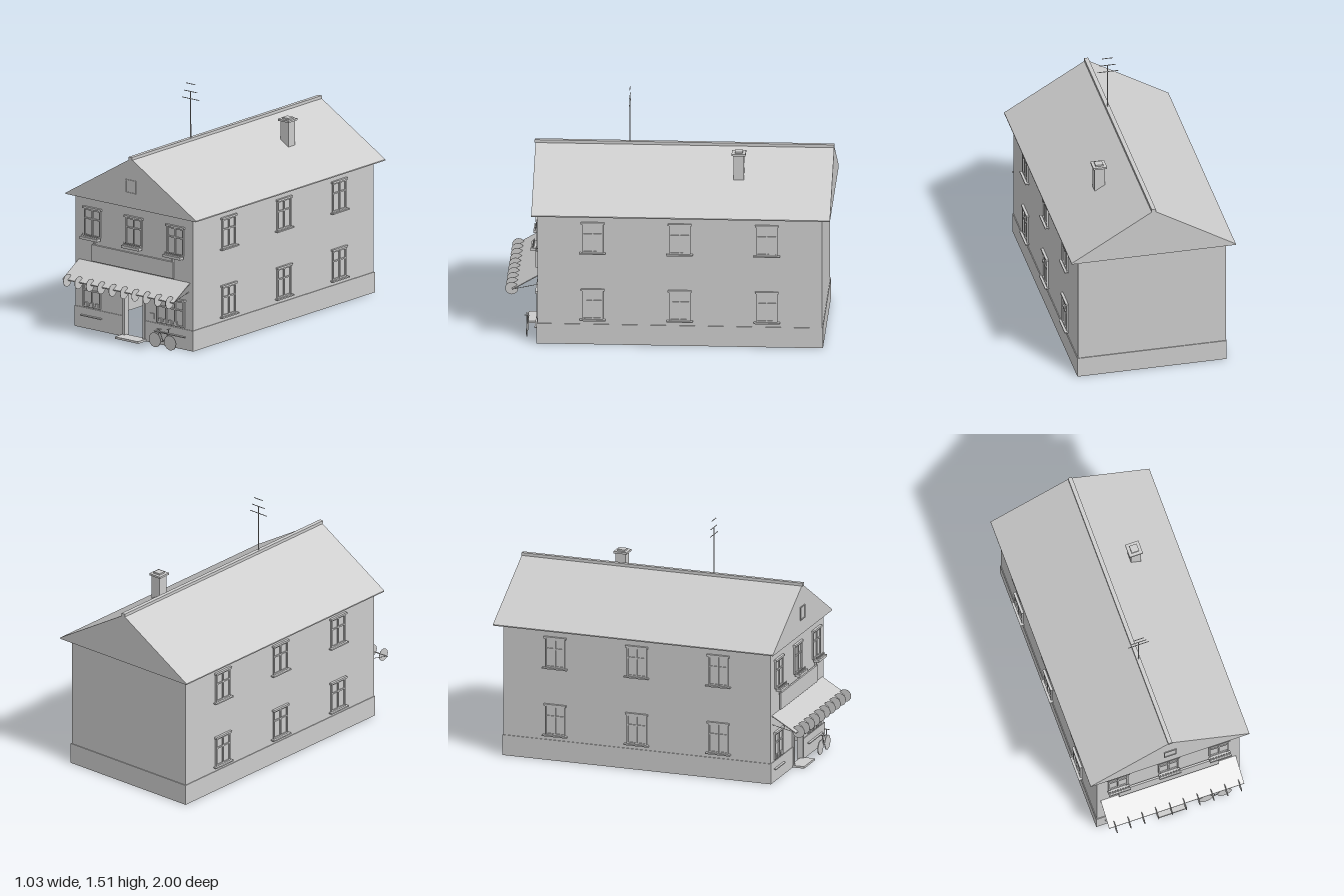
import * as THREE from 'three';

const plaster = new THREE.MeshStandardMaterial({ color: 0xcccccc });
plaster.name = 'plain grey';

function mesh(parent, name, geometry, x = 0, y = 0, z = 0) {
  const m = new THREE.Mesh(geometry, plaster);
  m.name = name;
  m.position.set(x, y, z);
  parent.add(m);
  return m;
}

// Box given by its lower and upper limits
function block(parent, name, x0, x1, y0, y1, z0, z1) {
  return mesh(parent, name, new THREE.BoxGeometry(x1 - x0, y1 - y0, z1 - z0),
    (x0 + x1) / 2, (y0 + y1) / 2, (z0 + z1) / 2);
}

// Round bar between two points
function rod(parent, name, a, b, r) {
  const from = new THREE.Vector3(...a), to = new THREE.Vector3(...b);
  const d = to.clone().sub(from);
  const m = mesh(parent, name, new THREE.CylinderGeometry(r, r, d.length(), 8));
  m.position.copy(from).addScaledVector(d, 0.5);
  m.quaternion.setFromUnitVectors(new THREE.Vector3(0, 1, 0), d.normalize());
  return m;
}

function group(parent, name, x = 0, y = 0, z = 0) {
  const g = new THREE.Group();
  g.name = name;
  g.position.set(x, y, z);
  parent.add(g);
  return g;
}

// Window facing +z, bottom centre at the origin
function makeWindow(parent, name, w, h, columns, sill) {
  const g = group(parent, name);
  const t = 0.009, d = 0.01, transom = h * 0.62;
  block(g, 'glass', -w / 2, w / 2, 0, h, 0, 0.002);
  for (let i = 0; i <= columns; i++) {
    const x = -w / 2 + t / 2 + (w - t) * i / columns;
    block(g, 'upright', x - t / 2, x + t / 2, 0, h, 0, d);
  }
  for (const y of [0, transom, h - t]) block(g, 'crossbar', -w / 2, w / 2, y, y + t, 0, d - 0.001);
  block(g, 'lintel', -w / 2 - 0.008, w / 2 + 0.008, h, h + 0.012, 0, 0.016);
  if (sill) block(g, 'sill', -w / 2 - 0.015, w / 2 + 0.015, -0.008, 0, 0, 0.024);
  return g;
}

// Front wall or plinth with the door cut out
function frontPanel(parent, name, half, height, z, depth) {
  const s = new THREE.Shape();
  [[-half, 0], [-0.07, 0], [-0.07, Math.min(0.305, height)], [0.075, Math.min(0.305, height)],
    [0.075, 0], [half, 0], [half, height], [-half, height]]
    .forEach(([x, y], i) => (i ? s.lineTo(x, y) : s.moveTo(x, y)));
  mesh(parent, name, new THREE.ExtrudeGeometry(s, { depth, bevelEnabled: false }), 0, 0, z);
}

function makeWalls(root) {
  const g = group(root, 'walls');
  frontPanel(g, 'frontWall', 0.465, 0.845, 0.77, 0.03);
  block(g, 'backWall', -0.465, 0.465, 0, 0.845, -0.95, -0.92);
  for (const s of [-1, 1]) {
    block(g, 'sideWall', s * 0.45 - 0.015, s * 0.45 + 0.015, 0, 0.845, -0.92, 0.77);
    block(g, 'sidePlinth', s * 0.4675 - 0.0025, s * 0.4675 + 0.0025, 0, 0.13, -0.955, 0.805);
    // Front plinth on each side of the door
    const a = s * 0.465, b = s > 0 ? 0.09 : -0.085;
    block(g, 'frontPlinth', Math.min(a, b), Math.max(a, b), 0, 0.13, 0.8, 0.805);
    // Side windows, two floors of three
    for (const y of [0.163, 0.595]) {
      for (const z of [0.46, -0.075, -0.61]) {
        const w = makeWindow(g, 'sideWindow', 0.13, 0.185, 2, true);
        w.position.set(s * 0.465, y, z);
        w.rotation.y = s * Math.PI / 2;
      }
    }
  }
  block(g, 'backPlinth', -0.465, 0.465, 0, 0.13, -0.955, -0.95);
}

function makeRoof(root) {
  const g = group(root, 'roof');
  const s = new THREE.Shape([[-0.517, 0.838], [0.517, 0.838], [0.517, 0.845], [0, 1.152], [-0.517, 0.845]]
    .map(([x, y]) => new THREE.Vector2(x, y)));
  mesh(g, 'gabledRoof', new THREE.ExtrudeGeometry(s, { depth: 1.835, bevelEnabled: false }), 0, 0, -1);
  block(g, 'ridgeCap', -0.013, 0.013, 1.143, 1.163, -1, 0.84);

  // Attic vent on the front gable
  for (const y of [0.93, 1.01]) block(g, 'ventRail', -0.04, 0.04, y, y + 0.006, 0.835, 0.84);
  for (const x of [-0.04, 0.035]) block(g, 'ventStile', x, x + 0.005, 0.93, 1.016, 0.835, 0.839);

  block(g, 'chimneyStack', 0.182, 0.246, 1.0, 1.165, -0.457, -0.393);
  block(g, 'chimneyCap', 0.17, 0.256, 1.163, 1.175, -0.468, -0.382);
  block(g, 'chimneyPot', 0.19, 0.238, 1.175, 1.185, -0.449, -0.401);

  const a = group(root, 'antenna', 0, 0, 0.255);
  rod(a, 'lowerMast', [0, 1.15, 0], [0, 1.25, 0], 0.004);
  rod(a, 'upperMast', [0, 1.25, 0], [0, 1.455, 0], 0.0025);
  rod(a, 'mastTip', [0, 1.455, 0], [0, 1.505, 0], 0.0008);
  for (const [y, half] of [[1.41, 0.067], [1.456, 0.052], [1.505, 0.035]]) {
    rod(a, 'aerialBar', [-half, y, 0], [half, y, 0], 0.0025);
  }
}

function makeFront(root) {
  const g = group(root, 'shopFront');

  // Upper windows with flower boxes
  for (const x of [-0.328, 0, 0.328]) {
    const w = makeWindow(g, 'upperWindow', 0.13, 0.175, 2, false);
    w.position.set(x, 0.59, 0.8);
    block(w, 'flowerBox', -0.07, 0.07, -0.015, 0.002, 0.012, 0.045);
    block(w, 'flowerBoxBracket', -0.05, 0.05, -0.01, -0.004, 0, 0.014);
    for (let i = 0; i < 8; i++) {
      mesh(w, 'plant', new THREE.ConeGeometry(0.008, 0.024, 5), -0.06 + i * 0.01714, 0.012, 0.03);
    }
  }

  // Shop windows with goods on display
  const shops = [[-0.333, 0.14, 2, [-0.375, -0.333, -0.29]], [0.29, 0.22, 3, [0.21, 0.25, 0.29, 0.332]]];
  for (const [x, width, columns, goods] of shops) {
    makeWindow(g, 'shopWindow', width, 0.165, columns, false).position.set(x, 0.138, 0.8);
    for (const gx of goods) block(g, 'displayCard', gx - 0.011, gx + 0.011, 0.14, 0.168, 0.8, 0.813);
    block(g, 'shopLedge', x - width / 2 - 0.01, x + width / 2 + 0.01, 0.078, 0.084, 0.8, 0.82);
  }
  block(g, 'notice', 0.128, 0.16, 0.152, 0.187, 0.8, 0.806);

  // Open doorway and step
  block(g, 'doorJamb', -0.085, -0.07, 0, 0.32, 0.795, 0.812);
  block(g, 'doorJamb', 0.075, 0.09, 0, 0.32, 0.795, 0.812);
  block(g, 'doorHead', -0.07, 0.075, 0.305, 0.32, 0.795, 0.812);
  block(g, 'doorStep', -0.09, 0.095, 0, 0.013, 0.79, 0.88);

  // Blank sign board with hangers
  block(g, 'signBoard', -0.325, 0.32, 0.44, 0.545, 0.806, 0.818);
  for (const x of [-0.312, 0.31]) block(g, 'signHanger', x - 0.004, x + 0.004, 0.53, 0.575, 0.8, 0.812);

  // Sloping awning with round tabs along its edge
  const a = group(root, 'awning');
  const s = new THREE.Shape([[0.8, 0.425], [0.957, 0.332], [0.957, 0.338], [0.8, 0.431]]
    .map(([z, y]) => new THREE.Vector2(-z, y)));
  const sheet = new THREE.ExtrudeGeometry(s, { depth: 0.88, bevelEnabled: false });
  mesh(a, 'awningSheet', sheet, -0.44).rotation.y = Math.PI / 2;
  for (const x of [-0.43, 0.43]) rod(a, 'awningArm', [x, 0.37, 0.8], [x, 0.336, 0.95], 0.002);
  for (let i = 0; i < 10; i++) {
    const tab = mesh(a, 'awningTab', new THREE.CylinderGeometry(0.04, 0.04, 0.002, 16), -0.4 + i * 0.09, 0.335, 0.96);
    tab.rotation.z = Math.PI / 2;
  }
}

function makeBicycle(root) {
  const g = group(root, 'bicycle', 0.28, 0, 0.87);
  for (const x of [-0.06, 0.062]) {
    mesh(g, 'wheel', new THREE.CylinderGeometry(0.046, 0.046, 0.005, 24), x, 0.046, 0).rotation.x = Math.PI / 2;
  }
  // Frame tubes
  const rear = [0.062, 0.046, 0], front = [-0.06, 0.046, 0], crank = [0.005, 0.045, 0];
  const seat = [-0.02, 0.105, 0], head = [0.045, 0.1, 0];
  for (const [p, q] of [[seat, crank], [seat, head], [crank, head], [front, seat], [front, crank],
    [rear, head], [seat, [-0.026, 0.118, 0]], [head, [0.05, 0.132, 0]]]) {
    rod(g, 'frameTube', p, q, 0.0028);
  }
  block(g, 'saddle', -0.042, -0.012, 0.116, 0.122, -0.007, 0.007);
  rod(g, 'handlebar', [0.05, 0.132, -0.017], [0.05, 0.132, 0.017], 0.003);
}

export function createModel() {
  const root = new THREE.Group();
  root.name = 'cornerShop';
  makeWalls(root);
  makeRoof(root);
  makeFront(root);
  makeBicycle(root);
  return root;
}
